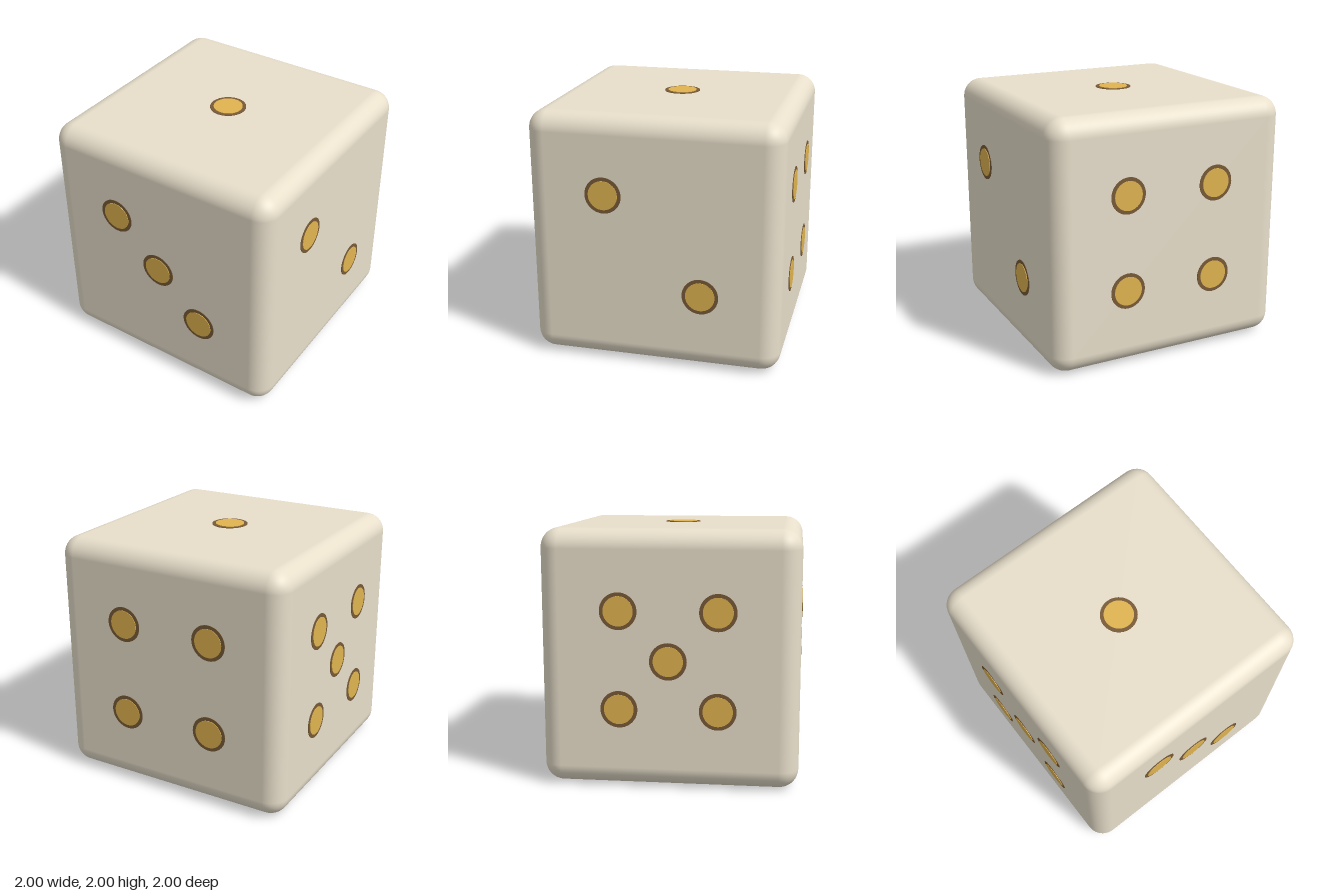
import * as THREE from 'three';
import { RoundedBoxGeometry } from 'three/addons/geometries/RoundedBoxGeometry.js';

const HALF = 0.992; // half the body's edge length
const D = 0.378;    // pip spacing from the face centre

export function createModel() {
  const group = new THREE.Group();
  group.name = 'die';
  const ivory = new THREE.MeshStandardMaterial({ color: 0xe8dfcb });
  const gold = new THREE.MeshStandardMaterial({ color: 0xe0b450 });
  const brown = new THREE.MeshStandardMaterial({ color: 0x785a36 });

  // Body with rounded edges
  const size = 2 * HALF;
  const body = new THREE.Mesh(new RoundedBoxGeometry(size, size, size, 6, 0.15), ivory);
  body.name = 'body';
  body.position.y = 1;
  group.add(body);

  // Thin discs lying in the face plane: a dark rim with a gold inlay on top
  const disc = (radius, top) =>
    new THREE.CylinderGeometry(radius, radius, 0.02, 40)
      .rotateX(Math.PI / 2)
      .translate(0, 0, top - 0.01);
  const rimGeometry = disc(0.143, 0.996);
  const inlayGeometry = disc(0.115, 1);

  // Pip layouts in face coordinates
  const centre = [[0, 0]];
  const diagonal = [[-D, D], [D, -D]];
  const corners = [...diagonal, [D, D], [-D, -D]];
  const sides = [[-D, 0], [D, 0]];

  // Each face: name, rotation about x, rotation about y, pips
  const q = Math.PI / 2;
  const faces = [
    ['topFace', -q, 0, centre],
    ['rightFace', 0, q, diagonal],
    ['frontFace', 0, 0, [...diagonal, ...centre]],
    ['backFace', 0, 2 * q, corners],
    ['leftFace', 0, -q, [...corners, ...centre]],
    ['bottomFace', q, 0, [...corners, ...sides]],
  ];
  for (const [name, rx, ry, pips] of faces) {
    const face = new THREE.Group();
    face.name = name;
    face.position.y = 1;
    face.rotation.set(rx, ry, 0);
    for (const [x, y] of pips) {
      const rim = new THREE.Mesh(rimGeometry, brown);
      rim.name = 'pipRim';
      const inlay = new THREE.Mesh(inlayGeometry, gold);
      inlay.name = 'pipInlay';
      for (const mesh of [rim, inlay]) {
        mesh.position.set(x, y, 0);
        face.add(mesh);
      }
    }
    group.add(face);
  }
  return group;
}
